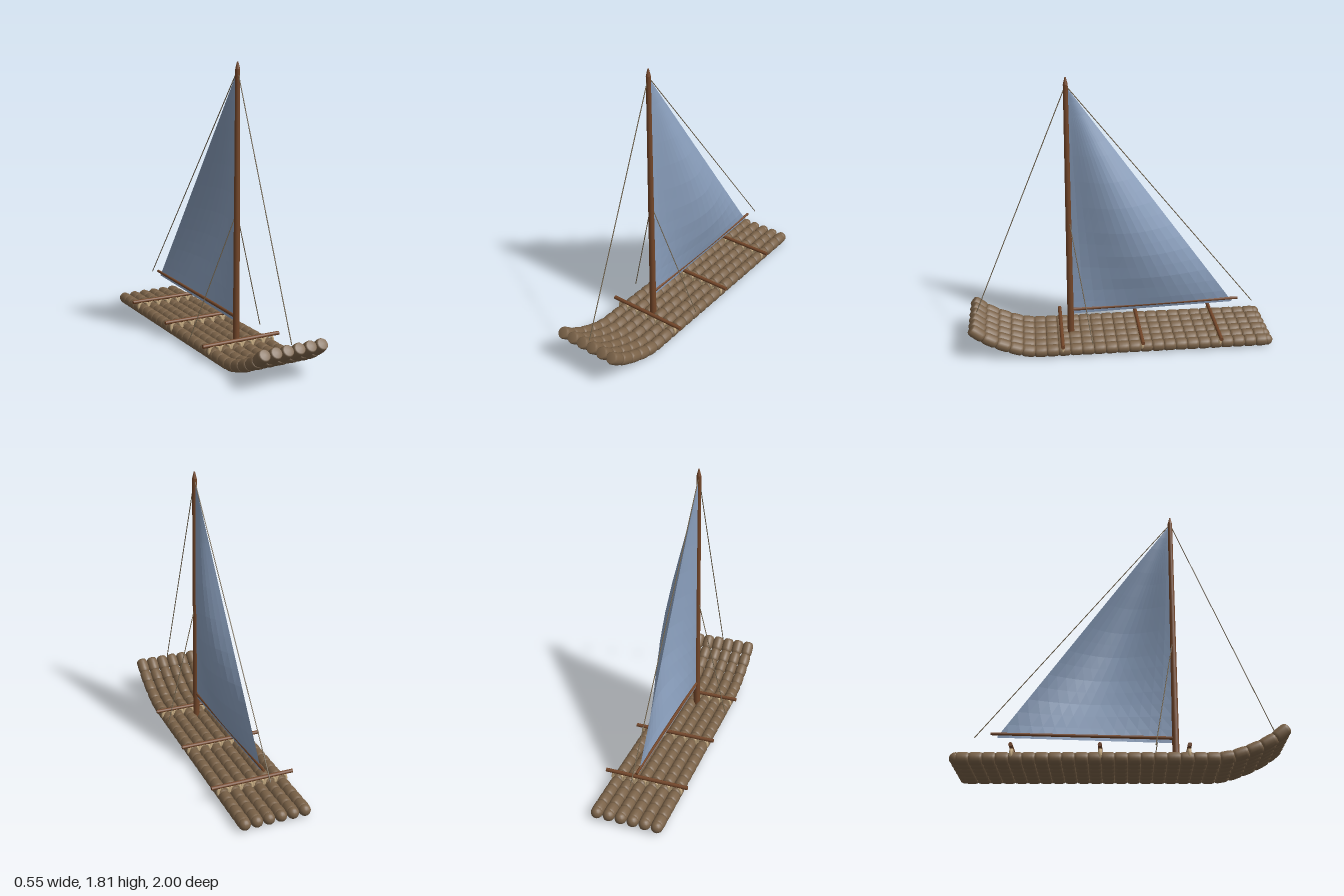
import * as THREE from 'three';

const material = (name, color, extra = {}) => {
  const m = new THREE.MeshStandardMaterial({ color, ...extra });
  m.name = name;
  return m;
};

const V = (x, y, z) => new THREE.Vector3(x, y, z);

export function createModel() {
  const group = new THREE.Group();
  const logBrown = material('log brown', 0x7a6248);
  const sparBrown = material('spar brown', 0x734629);
  const lashingTan = material('lashing tan', 0xc8ad84);
  const ropeBrown = material('rope brown', 0x74664f);
  const sailBlue = material('sail blue', 0x8a9fbd, { side: THREE.DoubleSide, flatShading: true });

  const add = (name, geometry, mat, parent = group) => {
    const mesh = new THREE.Mesh(geometry, mat);
    mesh.name = name;
    parent.add(mesh);
    return mesh;
  };

  // Round bar running from a to b
  const bar = (name, a, b, ra, rb, mat, sides = 10) => {
    const mesh = add(name, new THREE.CylinderGeometry(rb, ra, a.distanceTo(b), sides), mat);
    mesh.position.copy(a).add(b).multiplyScalar(0.5);
    mesh.quaternion.setFromUnitVectors(V(0, 1, 0), b.clone().sub(a).normalize());
    return mesh;
  };

  // Deck: six jointed logs, curling up at the bow
  const path = [[0.985, 0.228], [0.908, 0.165], [0.825, 0.118], [0.742, 0.083], [0.66, 0.055]];
  for (let i = 0; i <= 20; i++) path.push([0.58 - i * 0.077, 0.041]);
  const profile = [[0, -0.5], [0.030, -0.5], [0.036, -0.42], [0.039, -0.28], [0.0395, 0],
    [0.039, 0.28], [0.036, 0.42], [0.030, 0.5], [0, 0.5]].map(([r, y]) => new THREE.Vector2(r, y));
  const segment = new THREE.LatheGeometry(profile, 14);
  const stern = new THREE.SphereGeometry(0.037, 14, 10);
  const logX = [-0.195, -0.117, -0.039, 0.039, 0.117, 0.195];
  for (const x of logX) {
    const log = new THREE.Group();
    log.name = 'log';
    log.position.x = x;
    group.add(log);
    for (let i = 0; i < path.length - 1; i++) {
      const a = V(0, path[i][1], path[i][0]);
      const b = V(0, path[i + 1][1], path[i + 1][0]);
      const mesh = add('logSegment', segment, logBrown, log);
      mesh.position.copy(a).add(b).multiplyScalar(0.5);
      mesh.scale.y = a.distanceTo(b) * 1.04;
      mesh.quaternion.setFromUnitVectors(V(0, 1, 0), b.sub(a).normalize());
    }
    add('logEnd', stern, logBrown, log).position.set(0, 0.041, -0.963);
  }

  // Cross beams, each lashed to every log
  const loop = new THREE.TorusGeometry(0.034, 0.0105, 8, 20);
  for (const z of [0.4, -0.12, -0.637]) {
    bar('crossBeam', V(-0.273, 0.103, z), V(0.273, 0.103, z), 0.0125, 0.0125, sparBrown);
    for (const x of logX) add('lashing', loop, lashingTan).position.set(x, 0.064, z);
  }

  // Mast with a pointed tip, and the boom
  const mastZ = 0.335;
  bar('mast', V(0, 0.04, mastZ), V(0, 1.765, mastZ), 0.022, 0.015, sparBrown);
  bar('mastTip', V(0, 1.765, mastZ), V(0, 1.81, mastZ), 0.015, 0.004, sparBrown);
  bar('boom', V(0, 0.232, mastZ), V(0, 0.26, -0.795), 0.011, 0.009, sparBrown);

  // Triangular sail bellying to the left, with slight horizontal ripples
  const cols = 14, rows = 18;
  const sail = new THREE.PlaneGeometry(1, 1, cols, rows);
  const p = sail.attributes.position;
  for (let i = 0; i < p.count; i++) {
    const u = p.getX(i) + 0.5;
    const v = p.getY(i) + 0.5;
    const row = Math.round(v * rows);
    const across = Math.sin(Math.PI * Math.pow(u, 1.2));
    const belly = 0.752 * Math.pow(v, 1.2) * Math.pow(1 - v, 1.8) * across;
    const ripple = (row % 2 ? 0.0025 : 0) * across * (1 - v);
    p.setXYZ(i, Math.max(0, belly + ripple),
      0.2 + 0.035 * u * (1 - v) + 1.54 * v, 0.322 - 1.08 * u * (1 - v));
  }
  sail.computeVertexNormals();
  add('sail', sail, sailBlue);

  // Rigging
  const rope = (name, a, b) => bar(name, a, b, 0.003, 0.003, ropeBrown, 6);
  rope('forestay', V(0, 1.76, mastZ), V(0, 0.245, 0.955));
  rope('backstay', V(0, 1.76, mastZ), V(0, 0.235, -0.893));
  for (const side of [-1, 1]) {
    rope('shroud', V(0, 0.9, mastZ), V(side * 0.255, 0.105, 0.205));
  }

  return group;
}
